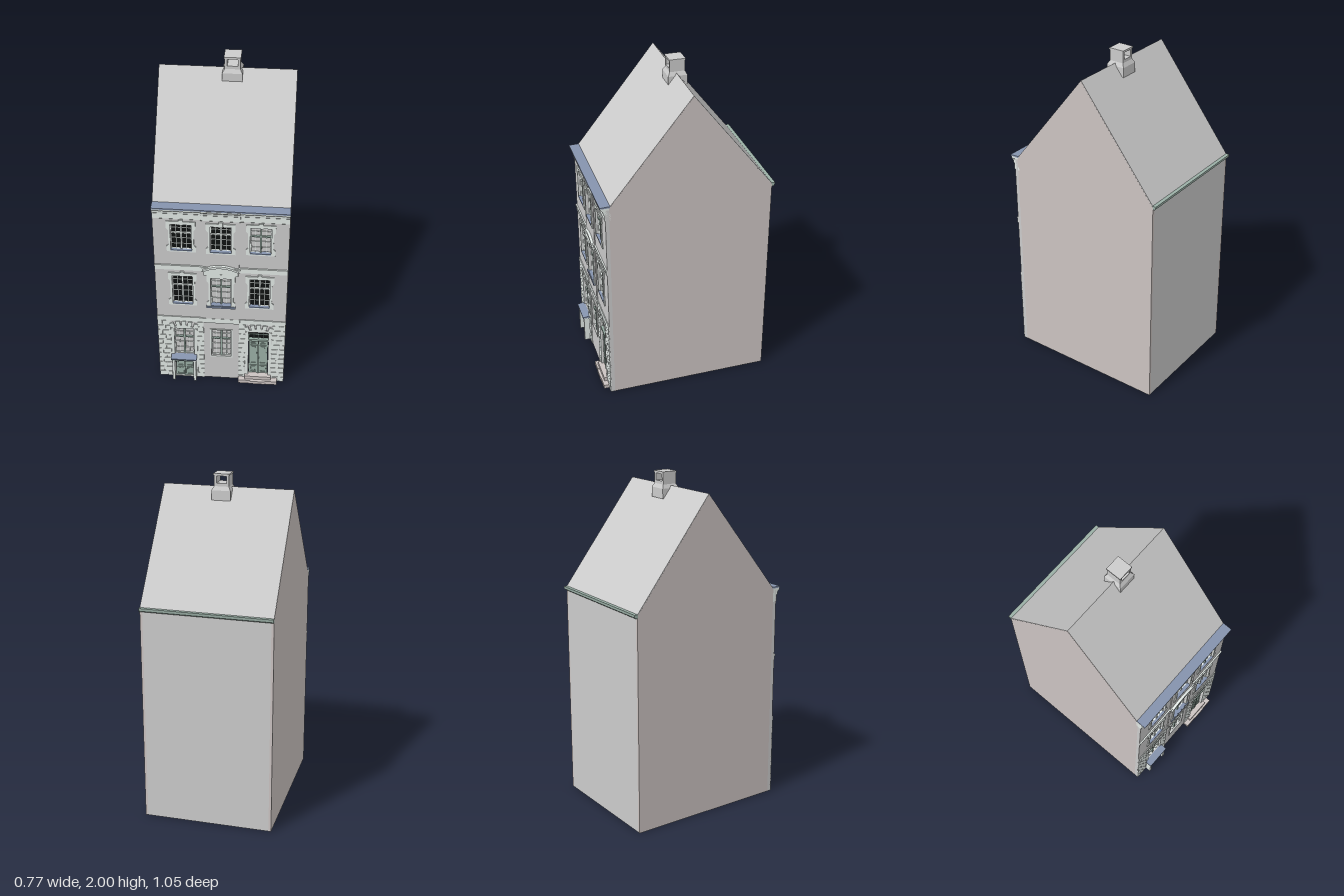
import * as THREE from 'three';

const mat = (color) => new THREE.MeshStandardMaterial({ color, side: THREE.DoubleSide });
const grey = mat(0xcccccc), plaster = mat(0xcbc3c1), stone = mat(0xe2e9e6), slate = mat(0x8593ad);
const green = mat(0x9bb0a7), black = mat(0x101212), paleGlass = mat(0xc4c8c7);
const F = 0.478; // front wall plane
const HALF = 0.385;

function add(parent, name, geo, material) {
  const m = new THREE.Mesh(geo, material);
  m.name = name;
  parent.add(m);
  return m;
}

// box given by its limits
function box(parent, name, material, x0, x1, y0, y1, z0, z1) {
  const g = new THREE.BoxGeometry(x1 - x0, y1 - y0, z1 - z0);
  g.translate((x0 + x1) / 2, (y0 + y1) / 2, (z0 + z1) / 2);
  return add(parent, name, g, material);
}

// [z, y] profile swept along x
function sweep(parent, name, material, pts, x0, x1) {
  const s = new THREE.Shape(pts.map(([z, y]) => new THREE.Vector2(z, y)));
  const g = new THREE.ExtrudeGeometry(s, { depth: x1 - x0, bevelEnabled: false });
  g.rotateY(-Math.PI / 2).translate(x1, 0, 0);
  return add(parent, name, g, material);
}

const poly = (pts, Type = THREE.Shape) => new Type(pts.map(([x, y]) => new THREE.Vector2(x, y)));
const rect = (x0, x1, y0, y1, Type) => poly([[x0, y0], [x1, y0], [x1, y1], [x0, y1]], Type);

// front-facing plate with holes
function plate(parent, name, material, shape, holes, z0, z1) {
  shape.holes.push(...holes);
  const g = new THREE.ExtrudeGeometry(shape, { depth: z1 - z0, bevelEnabled: false, curveSegments: 10 });
  g.translate(0, 0, z0);
  return add(parent, name, g, material);
}

const W = 0.06; // half width of every opening
const windows = [
  { x: -0.225, y0: 1.01, y1: 1.195, dark: true, ears: true },
  { x: 0, y0: 1.01, y1: 1.195, dark: true, ears: true },
  { x: 0.225, y0: 1.01, y1: 1.195, ears: true },
  { x: -0.225, y0: 0.605, y1: 0.82, dark: true, ears: true },
  { x: 0, y0: 0.605, y1: 0.82, ears: true },
  { x: 0.225, y0: 0.605, y1: 0.82, dark: true, ears: true },
  { x: -0.225, y0: 0.19, y1: 0.405, arch: true },
  { x: 0, y0: 0.19, y1: 0.405 },
];
const hole = (w) => rect(w.x - W, w.x + W, w.y0, w.y1, THREE.Path);
const doorHole = () => rect(0.165, 0.285, 0.004, 0.405, THREE.Path);
const cellarHole = () => rect(-0.285, -0.165, 0.004, 0.17, THREE.Path);

// panes, sash bars and moulded surround
function makeWindow(w) {
  const g = new THREE.Group();
  g.name = 'window';
  const { y0, y1 } = w, h = y1 - y0, b = F + (w.ears && w.x === 0 ? 0.006 : 0);
  box(g, 'glass', w.dark ? black : paleGlass, -W, W, y0, y1, F - 0.02, F - 0.017);
  const fz = F - 0.007, frame = w.dark ? stone : green;
  plate(g, 'sashFrame', stone, rect(-W, W, y0, y1),
    [rect(-W + 0.006, W - 0.006, y0 + 0.006, y1 - 0.006, THREE.Path)], F - 0.018, fz);
  const tr = y0 + h * 0.64;
  box(g, 'centrePost', frame, -0.005, 0.005, y0, y1, F - 0.018, fz + 0.002);
  box(g, 'transom', frame, -W, W, tr - 0.004, tr + 0.004, F - 0.018, fz + 0.001);
  for (const s of [-1, 1]) box(g, 'glazingBar', stone, s * 0.03 - 0.0015, s * 0.03 + 0.0015, y0, y1, F - 0.018, F - 0.012);
  for (const t of [0.21, 0.43, 0.82]) box(g, 'glazingBar', stone, -W, W, y0 + h * t - 0.0015, y0 + h * t + 0.0015, F - 0.018, F - 0.012);
  if (w.ears) {
    const a = 0.072, e = 0.083, t = y1 + 0.022;
    plate(g, 'surround', stone, poly([[-e, y0 - 0.008], [e, y0 - 0.008], [e, y0 + 0.03], [a, y0 + 0.04], [a, y1 - 0.04],
      [e, y1 - 0.025], [e, t], [-e, t], [-e, y1 - 0.025], [-a, y1 - 0.04], [-a, y0 + 0.04], [-e, y0 + 0.03]]),
      [rect(-W, W, y0, y1, THREE.Path)], b, b + 0.006);
    box(g, 'keystone', stone, -0.012, 0.012, y1, t + 0.012, b, b + 0.009);
    box(g, 'sill', slate, -W, W, y0, y0 + 0.006, F - 0.018, b + 0.008);
  } else if (!w.arch) {
    plate(g, 'surround', stone, rect(-W - 0.008, W + 0.008, y0 - 0.008, y1 + 0.008), [rect(-W, W, y0, y1, THREE.Path)], F, F + 0.004);
  }
  g.position.x = w.x;
  return g;
}

// segmental-headed stone frame around a tall ground floor opening
function archSurround(parent, x, holes, y0) {
  const s = new THREE.Shape();
  s.moveTo(x - 0.08, y0).lineTo(x + 0.08, y0).lineTo(x + 0.08, 0.4);
  s.quadraticCurveTo(x, 0.465, x - 0.08, 0.4);
  plate(parent, 'archSurround', stone, s, holes, F, F + 0.006);
}

// two panelled leaves
function doors(parent, name, x, y0, y1, rows, z) {
  const g = new THREE.Group();
  g.name = name;
  for (const s of [-1, 1]) {
    const c = x + s * 0.029;
    box(g, 'doorLeaf', green, c - 0.028, c + 0.028, y0, y1, z, z + 0.006);
    rows.forEach(([a, b]) => {
      const p = y0 + (y1 - y0) * a, q = y0 + (y1 - y0) * b;
      plate(g, 'panelMoulding', green, rect(c - 0.02, c + 0.02, p, q),
        [rect(c - 0.015, c + 0.015, p + 0.005, q - 0.005, THREE.Path)], z + 0.006, z + 0.011);
      box(g, 'doorPanel', green, c - 0.01, c + 0.01, p + 0.01, q - 0.01, z + 0.006, z + 0.009);
    });
  }
  box(g, 'coverStrip', green, x - 0.004, x + 0.004, y0, y1, z, z + 0.013);
  parent.add(g);
}

export function createModel() {
  const house = new THREE.Group();
  house.name = 'townhouse';

  // hollow shell, open underneath
  const gable = [[F - 0.022, 0], [F - 0.022, 1.308], [-0.027, 1.916], [-0.503, 1.3], [-0.503, 0]];
  for (const x of [-HALF, HALF - 0.015]) sweep(house, 'gableWall', plaster, gable, x, x + 0.015);
  box(house, 'backWall', grey, -HALF + 0.015, HALF - 0.015, 0, 1.3, -0.503, -0.488);
  sweep(house, 'roof', grey, [[0.45, 1.32], [-0.027, 1.92], [-0.505, 1.305], [-0.505, 1.288], [-0.027, 1.9], [0.45, 1.3]], -HALF + 0.0005, HALF - 0.0005);
  sweep(house, 'backGutter', green, [[-0.5, 1.31], [-0.522, 1.31], [-0.52, 1.294], [-0.513, 1.288], [-0.5, 1.288]], -HALF, HALF);

  // facade
  plate(house, 'frontWall', grey, rect(-HALF, HALF, 0, 1.3), [...windows.map(hole), doorHole(), cellarHole()], F - 0.022, F);
  plate(house, 'middleBay', grey, rect(-0.105, 0.105, 0.5, 1.26), windows.filter((w) => w.x === 0 && w.ears).map(hole), F, F + 0.006);
  windows.forEach((w) => house.add(makeWindow(w)));

  // horizontal bands, the middle ones stepping forward
  const cornice = (o) => [[0.445, 1.23], [F + o, 1.23], [F + 0.005 + o, 1.235], [F + 0.005 + o, 1.27], [F + 0.011 + o, 1.276],
    [F + 0.013 + o, 1.29], [F + 0.025 + o, 1.302], [F + 0.027 + o, 1.312], [0.445, 1.312]];
  for (const [x0, x1, o] of [[-HALF, -0.105, 0], [0.105, HALF, 0], [-0.111, 0.111, 0.005]]) {
    sweep(house, 'cornice', stone, cornice(o), x0, x1);
    box(house, 'storeyBand', stone, x0, x1, 0.865, 0.895, F, F + 0.005 + o);
    box(house, 'storeyBandLip', stone, x0, x1, 0.893, 0.901, F, F + 0.009 + o);
    box(house, 'plinthBand', stone, x0, x1, 0.465, 0.5, F, F + 0.005 + o * 0.5);
  }
  sweep(house, 'corniceCover', slate, [[0.445, 1.312], [0.508, 1.312], [0.508, 1.32], [0.445, 1.322]], -HALF, HALF);
  box(house, 'corniceShadowLine', black, -HALF, HALF, 1.296, 1.3, F, F + 0.021);

  // curved hood and ledge on the middle window
  const hood = new THREE.Shape();
  hood.moveTo(-0.105, 0.872).lineTo(-0.105, 0.885).quadraticCurveTo(0, 0.95, 0.105, 0.885);
  hood.lineTo(0.105, 0.872).quadraticCurveTo(0, 0.932, -0.105, 0.872);
  plate(house, 'windowHood', stone, hood, [], F, F + 0.022);
  const field = new THREE.Shape();
  field.moveTo(-0.1, 0.842).lineTo(0.1, 0.842).lineTo(0.1, 0.876).quadraticCurveTo(0, 0.933, -0.1, 0.876);
  plate(house, 'hoodField', stone, field, [], F, F + 0.014);
  box(house, 'windowLedge', slate, -0.085, 0.085, 0.594, 0.606, F, F + 0.018);

  // coursed stone on the ground floor sides
  for (const side of [-1, 1]) {
    for (let i = 0; i < 12; i++) {
      const y = i * 0.0388, joint = i % 2 ? 0.355 : 0.335;
      for (const [a, b] of [[0.105, 0.145], [0.305, joint], [joint, HALF]]) {
        const p = side * a, q = side * b;
        box(house, 'stoneBlock', stone, Math.min(p, q) + 0.001, Math.max(p, q) - 0.001, y, y + 0.036, F, F + 0.005);
      }
    }
    // voussoirs over the arch
    for (let k = -2; k <= 2; k++) {
      const v = box(house, 'archStone', stone, -0.013, 0.013, 0, 0.034, F, F + 0.008);
      v.position.set(side * 0.225 + k * 0.033, 0.433 - k * k * 0.005, 0);
      v.rotation.z = -k * 0.16;
    }
  }
  archSurround(house, -0.225, [hole(windows[6]), cellarHole()], 0);
  archSurround(house, 0.225, [doorHole()], 0);

  // entrance door with dark fanlight
  doors(house, 'entranceDoor', 0.225, 0.05, 0.33, [[0.04, 0.24], [0.3, 0.84], [0.88, 0.97]], F - 0.018);
  box(house, 'fanlightGlass', black, 0.165, 0.285, 0.34, 0.405, F - 0.02, F - 0.017);
  box(house, 'doorTransom', green, 0.165, 0.285, 0.328, 0.343, F - 0.02, F + 0.002);
  for (const x of [0.165, 0.195, 0.222, 0.252, 0.281]) box(house, 'fanlightBar', green, x, x + 0.004, 0.34, 0.405, F - 0.018, F - 0.01);
  box(house, 'fanlightBar', green, 0.165, 0.285, 0.372, 0.375, F - 0.018, F - 0.01);

  // entrance steps
  box(house, 'lowerStep', plaster, 0.18, 0.27, 0, 0.02, F, 0.517);
  for (const [a, b] of [[0.105, 0.18], [0.27, 0.345]]) box(house, 'stepBlock', plaster, a, b, 0, 0.025, F, 0.515);
  box(house, 'upperStep', plaster, 0.145, 0.305, 0.025, 0.05, F - 0.02, 0.503);

  // cellar porch
  for (const x of [-0.3, -0.17]) box(house, 'porchPost', stone, x, x + 0.016, 0, 0.175, F, 0.518);
  box(house, 'porchLintel', green, -0.3, -0.154, 0.163, 0.176, F, 0.518);
  sweep(house, 'porchRoof', slate, [[F, 0.176], [0.525, 0.176], [0.525, 0.184], [F, 0.192]], -0.306, -0.149);
  doors(house, 'cellarDoor', -0.225, 0.004, 0.163, [[0.06, 0.44], [0.52, 0.94]], F - 0.01);

  // chimney with an open hood
  const cx = 0.0275, cz = -0.033;
  const chimney = new THREE.Group();
  chimney.name = 'chimney';
  box(chimney, 'chimneyBase', grey, -0.056, 0.056, 1.848, 1.905, -0.056, 0.056);
  const taper = new THREE.CylinderGeometry(0.044 * Math.SQRT2, 0.056 * Math.SQRT2, 0.022, 4).rotateY(Math.PI / 4).translate(0, 1.916, 0).toNonIndexed();
  taper.computeVertexNormals();
  add(chimney, 'chimneyTaper', taper, grey);
  plate(chimney, 'chimneyHood', grey, rect(-0.044, 0.044, 1.927, 1.992), [rect(-0.029, 0.029, 1.945, 1.986, THREE.Path)], -0.044, 0.044);
  box(chimney, 'chimneyCap', grey, -0.047, 0.047, 1.99, 2.0, -0.047, 0.047);
  chimney.position.set(cx, 0, cz);
  house.add(chimney);
  return house;
}
